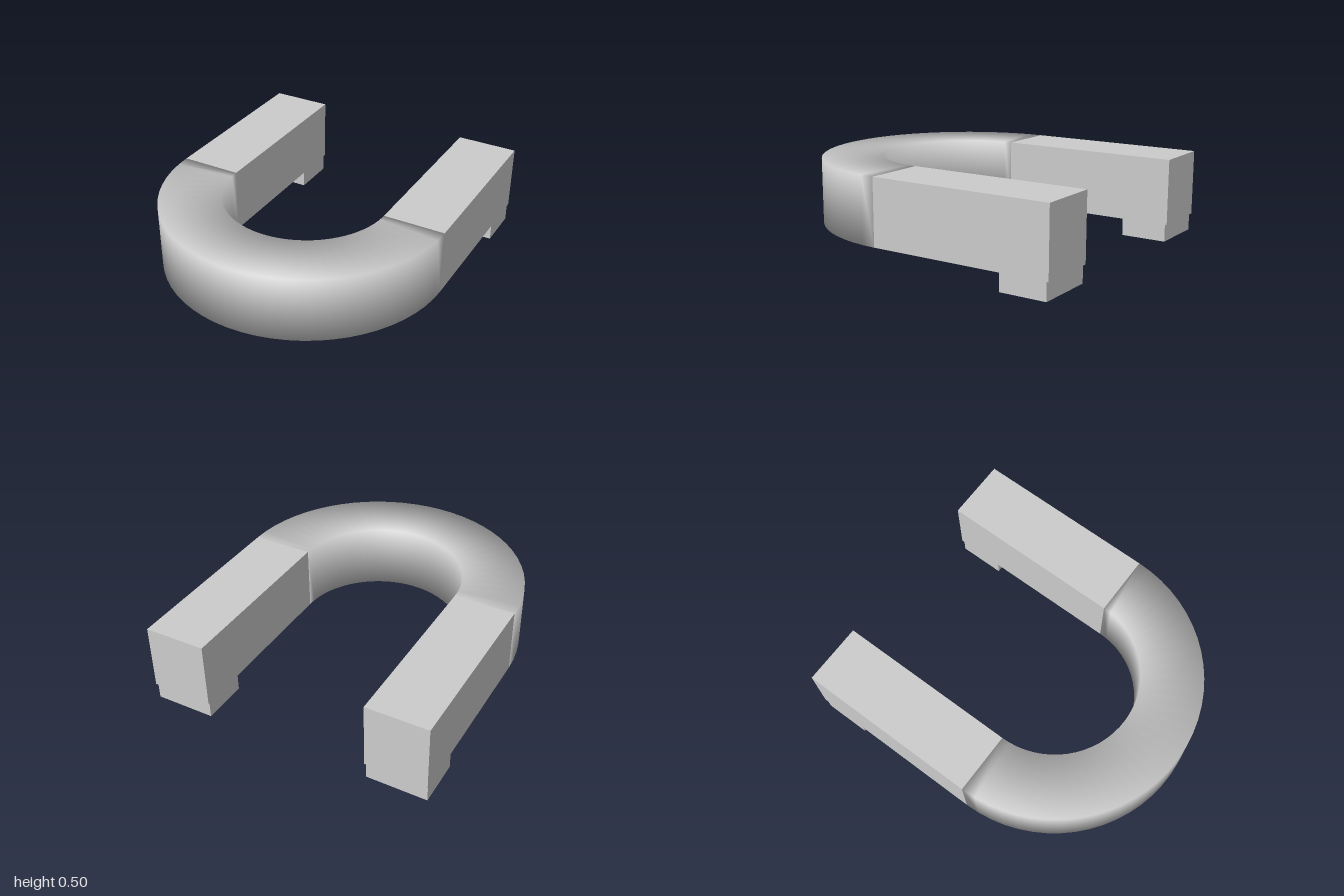
import * as THREE from 'three';

const INNER = 0.505, OUTER = 0.88; // bend radii, also the arms' x range
const BOTTOM = 0.105, TOP = 0.505;
const JOIN_Z = 0.12; // where the bend meets the arms
const SEGMENTS = 32;

// Half ring of rectangular section; shared corners give soft shading
function bendGeometry() {
  const positions = [], index = [];
  const section = [[INNER, BOTTOM], [OUTER, BOTTOM], [OUTER, TOP], [INNER, TOP]];
  for (let i = 0; i <= SEGMENTS; i++) {
    const a = (i / SEGMENTS) * Math.PI;
    for (const [r, y] of section) positions.push(r * Math.cos(a), y, JOIN_Z + r * Math.sin(a));
  }
  for (let i = 0; i < SEGMENTS; i++) {
    for (let k = 0; k < 4; k++) {
      const a = i * 4 + k, b = i * 4 + (k + 1) % 4;
      index.push(a, b, b + 4, a, b + 4, a + 4);
    }
  }
  // End caps
  const e = SEGMENTS * 4;
  index.push(0, 2, 1, 0, 3, 2, e, e + 1, e + 2, e, e + 2, e + 3);

  const geometry = new THREE.BufferGeometry();
  geometry.setAttribute('position', new THREE.Float32BufferAttribute(positions, 3));
  geometry.setIndex(index);
  geometry.computeVertexNormals();
  return geometry;
}

export function createModel() {
  const model = new THREE.Group();
  model.name = 'horseshoeBlock';
  const grey = new THREE.MeshStandardMaterial({ color: 0xcccccc });
  grey.name = 'light grey';

  const add = (name, geometry) => {
    const mesh = new THREE.Mesh(geometry, grey);
    mesh.name = name;
    model.add(mesh);
    return mesh;
  };
  const box = (name, x0, x1, y0, y1, z0, z1) =>
    add(name, new THREE.BoxGeometry(x1 - x0, y1 - y0, z1 - z0))
      .position.set((x0 + x1) / 2, (y0 + y1) / 2, (z0 + z1) / 2);

  add('bend', bendGeometry());

  // Straight arms with a foot under each rear end
  for (const [side, s] of [['left', 1], ['right', -1]]) {
    const [x0, x1] = s > 0 ? [INNER, OUTER] : [-OUTER, -INNER];
    box(side + 'Arm', x0, x1, BOTTOM, TOP, -1, JOIN_Z);
    box(side + 'Foot', x0 + 0.004, x1 - 0.004, 0, BOTTOM, -0.987, -0.705);
  }
  return model;
}
